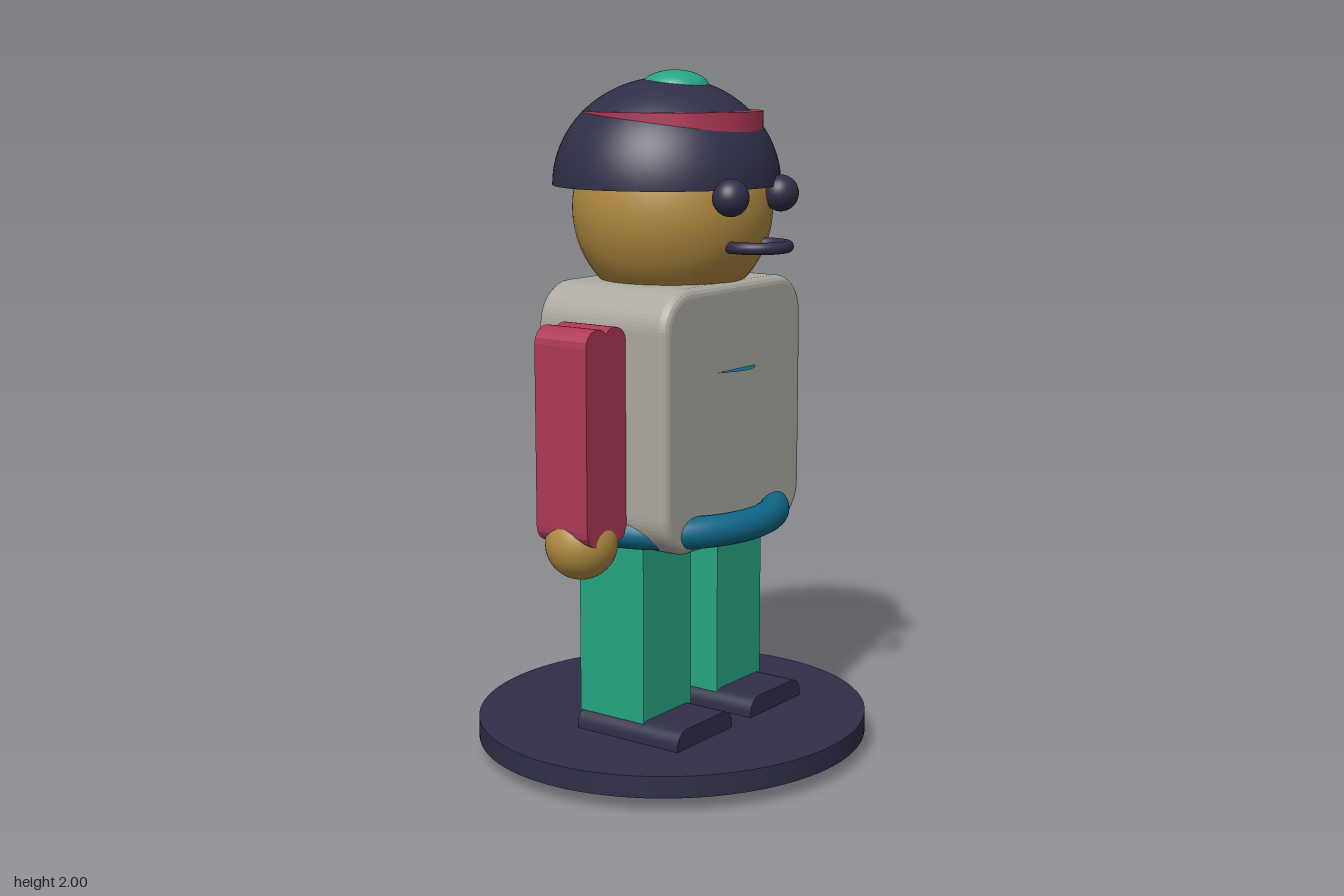
import * as THREE from 'three';

const mat = (name, color, side = THREE.FrontSide) => {
  const m = new THREE.MeshStandardMaterial({ color, side });
  m.name = name;
  return m;
};

// Rounded rectangle outline centred on the origin
function roundedRect(w, h, r) {
  const x = w / 2, y = h / 2, s = new THREE.Shape();
  s.moveTo(-x + r, -y);
  s.lineTo(x - r, -y);
  s.absarc(x - r, -y + r, r, -Math.PI / 2, 0);
  s.lineTo(x, y - r);
  s.absarc(x - r, y - r, r, 0, Math.PI / 2);
  s.lineTo(-x + r, y);
  s.absarc(-x + r, y - r, r, Math.PI / 2, Math.PI);
  s.lineTo(-x, -y + r);
  s.absarc(-x + r, -y + r, r, Math.PI, Math.PI * 1.5);
  return s;
}

// Sleeve outline with two round lobes at the top and bottom
function sleeveShape(w, h) {
  const x = w / 2, y = h / 2, c = 0.05, s = new THREE.Shape();
  s.moveTo(-x, -y + c);
  s.bezierCurveTo(-x, -y, -0.02, -y - 0.012, 0, -y + 0.02);
  s.bezierCurveTo(0.02, -y - 0.012, x, -y, x, -y + c);
  s.lineTo(x, y - c);
  s.bezierCurveTo(x, y, 0.02, y + 0.012, 0, y - 0.02);
  s.bezierCurveTo(-0.02, y + 0.012, -x, y, -x, y - c);
  s.closePath();
  return s;
}

// Extrusion along z, centred in depth
function slab(shape, depth, bevel = 0) {
  const g = new THREE.ExtrudeGeometry(shape, {
    depth: depth - 2 * bevel, curveSegments: 8,
    bevelEnabled: bevel > 0, bevelSize: bevel, bevelThickness: bevel,
    bevelOffset: -bevel, bevelSegments: 4,
  });
  return g.translate(0, 0, -depth / 2 + bevel);
}

export function createModel() {
  const group = new THREE.Group();
  const dark = mat('navy', 0x2f2e48);
  const darkOpen = dark;
  const capMat = dark;
  dark.side = THREE.DoubleSide;
  const skin = mat('tan', 0xb08a40);
  const grey = mat('warm grey', 0xaca89f);
  const green = mat('green', 0x26a482);
  const red = mat('crimson', 0xae3856);
  const teal = mat('teal', 0x0f6788, THREE.DoubleSide);

  const add = (name, geo, material, x, y, z) => {
    const m = new THREE.Mesh(geo, material);
    m.name = name;
    m.position.set(x, y, z);
    group.add(m);
    return m;
  };
  const ball = (rx, ry = rx, rz = rx) => new THREE.SphereGeometry(1, 48, 32).scale(rx, ry, rz);

  // Oval stand
  add('stand', new THREE.CylinderGeometry(1, 1, 0.063, 96).scale(0.596, 1, 0.57), dark, 0, 0.076, 0);

  // Body with a belt ring and a flat chest disc
  add('torso', slab(roundedRect(0.684, 0.75, 0.12), 0.454, 0.025), grey, 0, 1.033, 0);
  add('belt', new THREE.TorusGeometry(0.29, 0.046, 20, 80).rotateX(Math.PI / 2).scale(1.09, 1, 1), teal, 0, 0.718, 0);
  add('chestDisc', new THREE.CircleGeometry(0.128, 32).rotateX(-Math.PI / 2), teal, 0, 1.16, 0.137);

  // Limbs, mirrored
  for (const [side, s] of [['left', 1], ['right', -1]]) {
    add(side + 'Leg', slab(roundedRect(0.23, 0.74, 0.045), 0.23), green, s * 0.182, 0.372, 0);
    add(side + 'Shoe', slab(roundedRect(0.268, 0.11, 0.045), 0.36), dark, s * 0.183, 0.11, 0.07);
    add(side + 'Arm', slab(sleeveShape(0.175, 0.61), 0.18), red, s * 0.428, 1.01, 0);
    add(side + 'Hand', ball(0.102), skin, s * 0.43, 0.702, 0);
    add(side + 'Eye', ball(0.054, 0.052, 0.05), dark, s * 0.125, 1.655, 0.289);
  }

  // Head and mouth ring
  add('head', ball(0.296, 0.296, 0.286), skin, 0, 1.61, 0);
  add('mouth', new THREE.TorusGeometry(0.087, 0.017, 16, 48).rotateX(Math.PI / 2), dark, 0, 1.514, 0.292);

  // Domed cap with band and button
  const dome = new THREE.SphereGeometry(1, 64, 24, 0, Math.PI * 2, 0, Math.PI / 2);
  add('cap', dome.scale(0.337, 0.305, 0.325), capMat, 0, 1.675, -0.021);
  add('capBand', new THREE.CylinderGeometry(0.259, 0.259, 0.07, 64), red, 0, 1.85, 0);
  add('capButton', ball(0.098, 0.05, 0.098), green, 0, 1.95, 0.008);

  return group;
}
